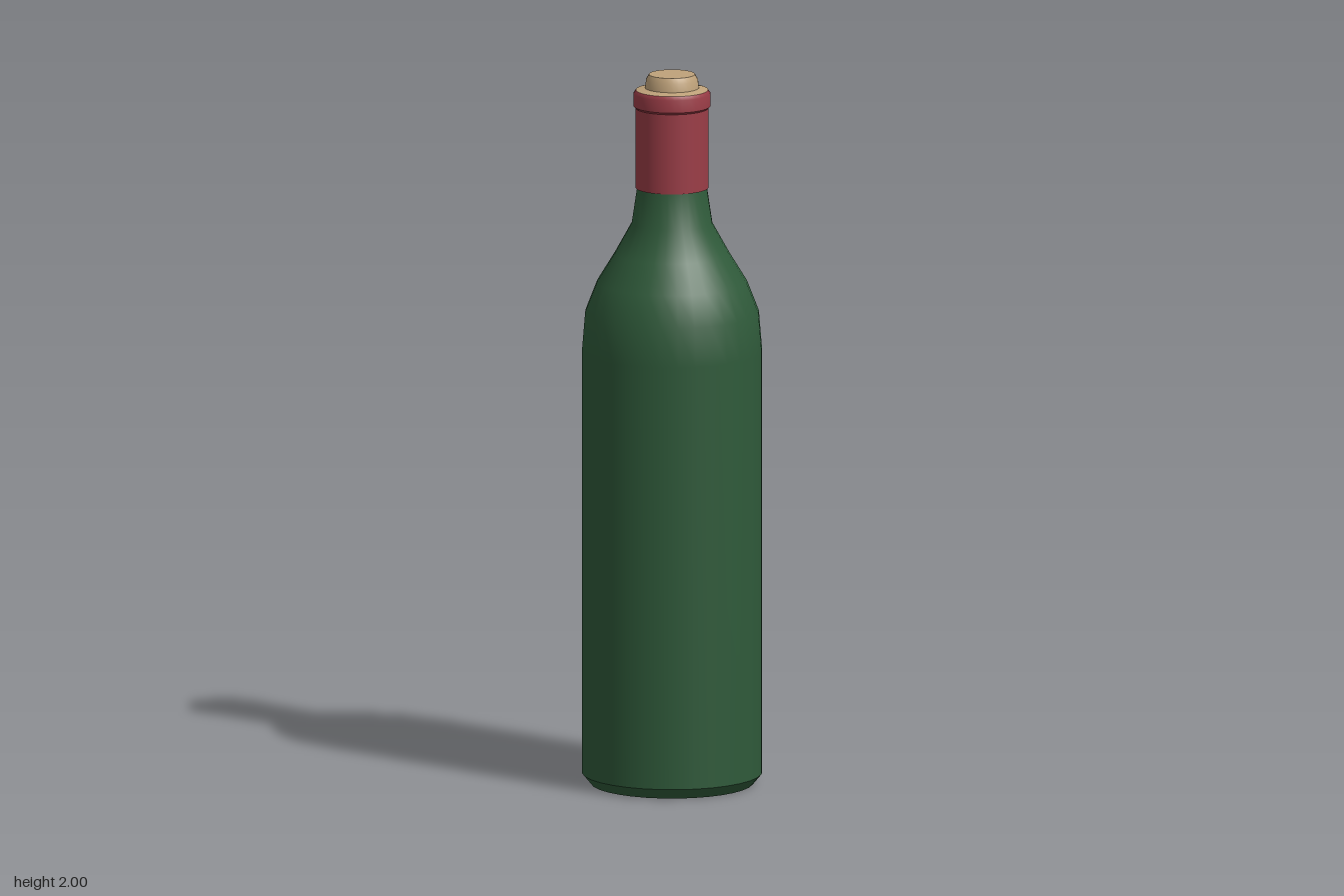
import * as THREE from 'three';

const material = (name, color) => {
  const m = new THREE.MeshStandardMaterial({ color });
  m.name = name;
  return m;
};

export function createModel() {
  const bottle = new THREE.Group();
  bottle.name = 'bottle';

  const glass = material('greenGlass', 0x2f5a3a);
  const foil = material('redFoil', 0x9b3d47);
  const cork = material('cork', 0xbfa27a);

  // Each turned part is a group of smooth bands, with sharp edges between bands.
  const turned = (name, mat, bands) => {
    const group = new THREE.Group();
    group.name = name;
    bands.forEach((band, i) => {
      const points = band.map(([r, y]) => new THREE.Vector2(r, y));
      const mesh = new THREE.Mesh(new THREE.LatheGeometry(points, 32, Math.PI / 2), mat);
      mesh.name = `${name}Band${i + 1}`;
      group.add(mesh);
    });
    bottle.add(group);
  };

  // Hollow underside
  turned('punt', glass, [
    [[0, 0.12], [0.08, 0.108], [0.15, 0.075], [0.2, 0.035], [0.225, 0]],
  ]);

  // Chamfered foot, straight wall, rounded shoulder and neck
  turned('body', glass, [
    [[0.225, 0], [0.25, 0.03]],
    [[0.25, 0.03], [0.25, 1.22], [0.241, 1.33], [0.208, 1.415],
      [0.159, 1.495], [0.112, 1.58], [0.097, 1.68]],
  ]);

  // Foil sleeve with a raised lip
  turned('capsule', foil, [
    [[0.095, 1.68], [0.101, 1.68]],
    [[0.101, 1.68], [0.101, 1.905]],
    [[0.101, 1.905], [0.107, 1.911]],
    [[0.107, 1.911], [0.107, 1.946], [0.1, 1.956]],
  ]);

  // Rim disc and stopper
  turned('stopper', cork, [
    [[0.1, 1.956], [0.075, 1.962]],
    [[0.075, 1.962], [0.072, 1.985], [0.064, 2]],
    [[0.064, 2], [0, 2]],
  ]);

  return bottle;
}
